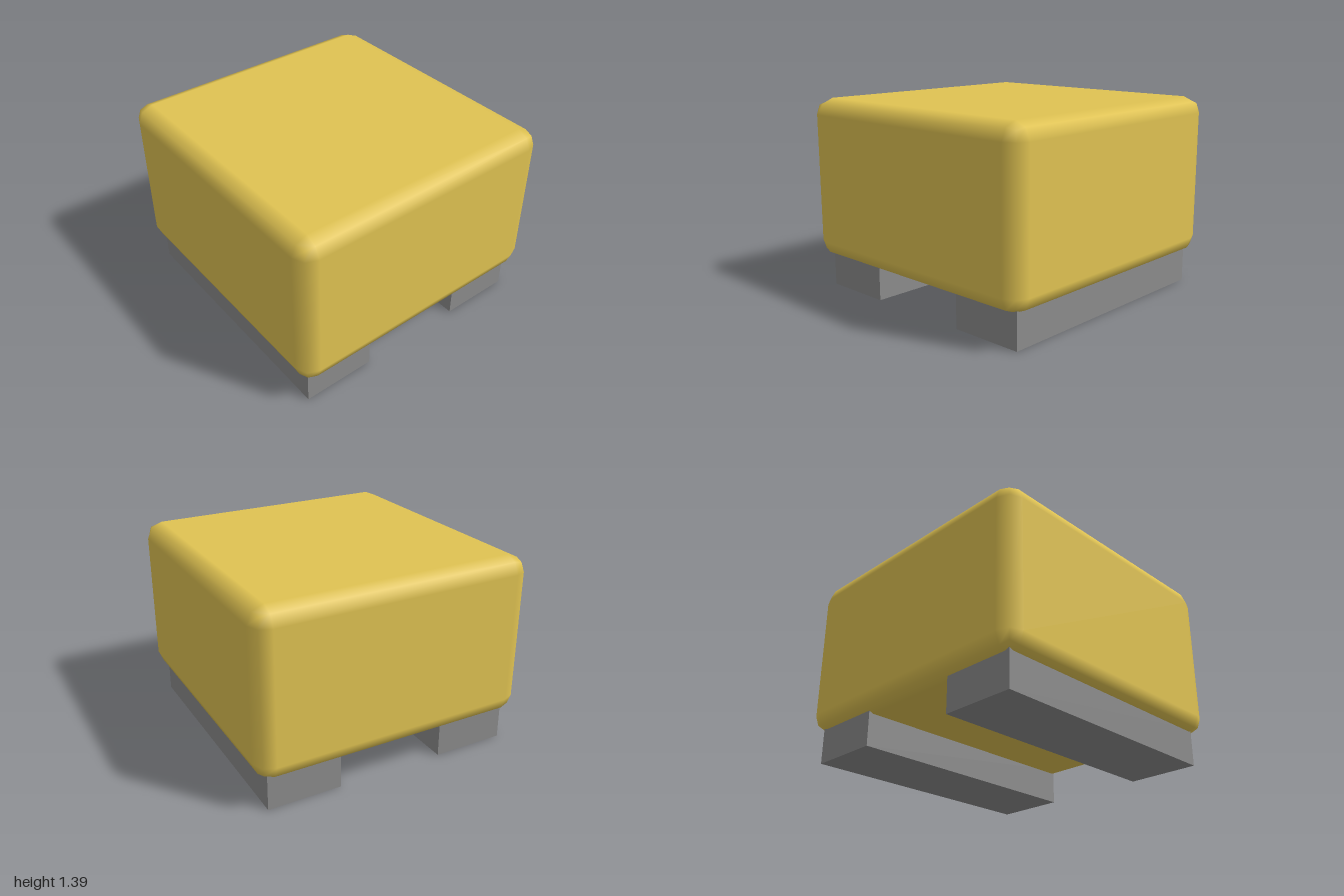
import * as THREE from 'three';
import { RoundedBoxGeometry } from 'three/addons/geometries/RoundedBoxGeometry.js';

export function createModel() {
  const group = new THREE.Group();
  const yellow = new THREE.MeshStandardMaterial({ color: 0xe0c352 });
  yellow.name = 'yellow';
  const grey = new THREE.MeshStandardMaterial({ color: 0x8c8c8c });
  grey.name = 'grey';

  // Soft block with a single coarse bevel; widened slightly because the
  // bevel's flat faces sit a little inside the nominal size
  const radius = 0.115, extra = 0.19 * radius;
  const body = new THREE.Mesh(
    new RoundedBoxGeometry(2 + extra, 1.13 + extra, 1.97 + extra, 1, radius), yellow);
  body.name = 'cushionBody';
  body.position.y = 0.81;
  group.add(body);

  // Two runners under the front and back edges
  for (const [name, side] of [['frontFoot', 1], ['backFoot', -1]]) {
    const foot = new THREE.Mesh(new THREE.BoxGeometry(1.845, 0.27, 0.525), grey);
    foot.name = name;
    foot.position.set(-0.007, 0.135, side * 0.652);
    group.add(foot);
  }
  return group;
}
